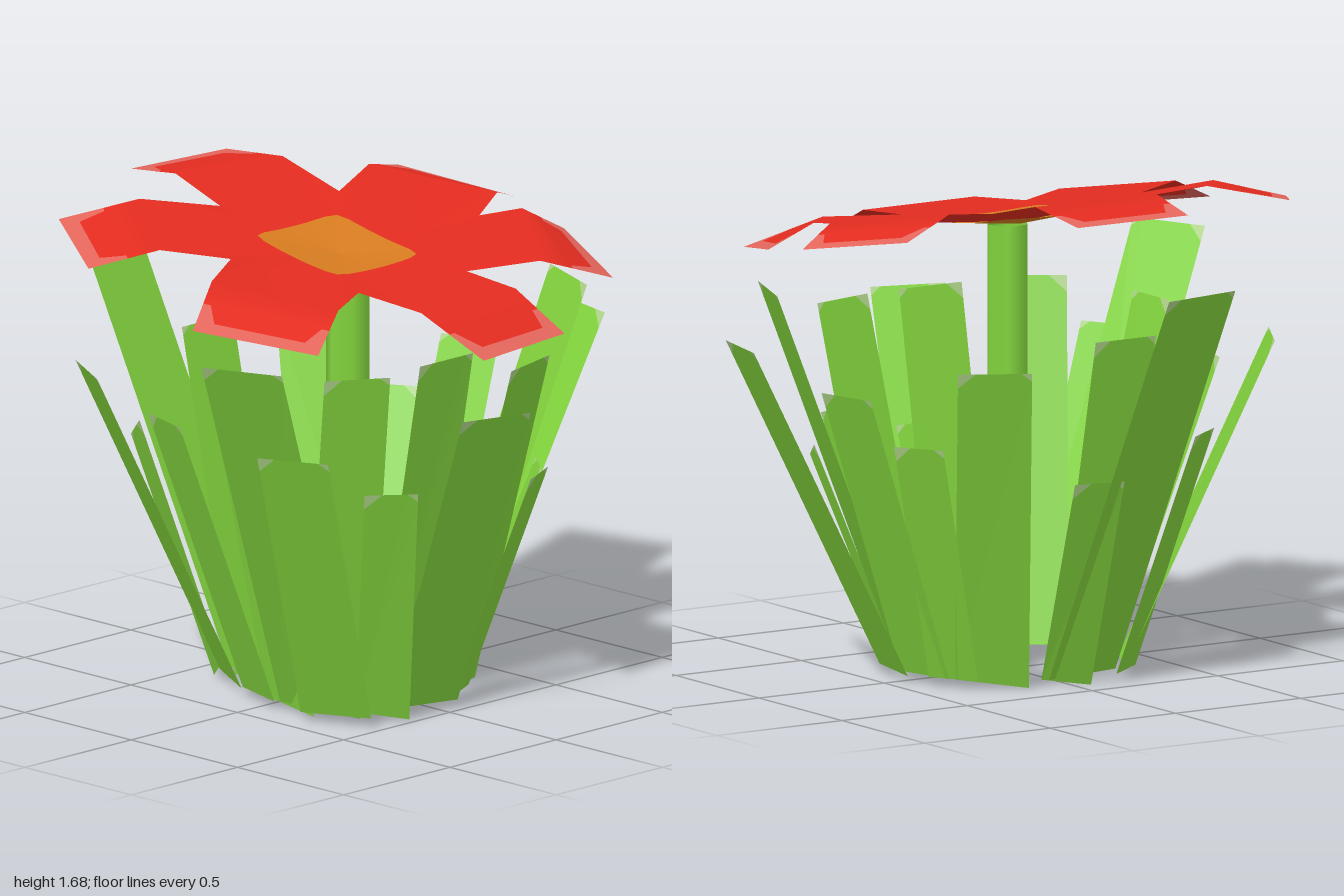
import * as THREE from 'three';
import { mergeVertices } from 'three/addons/utils/BufferGeometryUtils.js';

const mat = (name, color) => {
  const m = new THREE.MeshStandardMaterial({ color, side: THREE.DoubleSide });
  m.name = name;
  return m;
};

// Split convex polygons (lists of Vector3 corners) into triangle corners
const fan = (polys) => polys.flatMap((p) =>
  p.slice(2).flatMap((q, i) => [p[0], p[i + 1], q]));

function polyMesh(name, polys, material) {
  const g = new THREE.BufferGeometry().setFromPoints(fan(polys));
  g.computeVertexNormals();
  const m = new THREE.Mesh(g, material);
  m.name = name;
  return m;
}

// Tall leaves: top middle x, z, height, facing in degrees, width, outward run
const TALL = [
  [-0.205, 0.925, 1.135, -16, 0.26, 0.5],
  [-0.945, 0.465, 1.345, -68, 0.29, 0.67],
  [0.967, 0.165, 1.16, 78, 0.256, 0.55],
  [0.78, 0.28, 1.32, 69, 0.3, 0.47],
  [0.765, -0.17, 1.02, 103, 0.225, 0.38],
  [0.465, -0.615, 1.135, 148, 0.247, 0.4],
  [-0.15, -0.935, 1.385, -170, 0.304, 0.58],
  [0.25, 0.63, 1.18, 14, 0.247, 0.29],
  [-0.12, -0.52, 1.18, 180, 0.24, 0.25],
  [-0.64, 0.11, 1.18, -90, 0.22, 0.28],
  [-0.71, -0.135, 1.02, -106, 0.218, 0.36],
  [-0.725, -0.485, 1.132, -119, 0.264, 0.5],
  [-0.405, 0.47, 1.217, -32, 0.225, 0.29],
  [-0.015, 0.5, 1.217, 0, 0.25, 0.22],
  [-0.755, 0.515, 1.01, -65, 0.25, 0.42],
];
// Short leaves share one width and run: x, z, height, facing
const SHORT = [
  [0.262, 0.66, 0.805, 26],
  [-0.405, 0.63, 0.85, -39],
  [0.53, 0.39, 0.735, 52],
  [-0.385, -0.595, 0.85, -144],
  [0.595, -0.35, 0.855, 122],
  [0.08, -0.665, 0.735, 170],
  [-0.035, 0.6, 0.735, 0],
];

// Six petals: notch before, first tip corner, second tip corner (x, z)
const PETALS = [
  [[-0.21, -0.37], [-0.15, -0.85], [0.27, -0.82]],
  [[0.25, -0.27], [0.70, -0.44], [0.86, -0.05]],
  [[0.53, 0.11], [0.81, 0.23], [0.65, 0.62]],
  [[0.14, 0.44], [0.15, 0.89], [-0.27, 0.93]],
  [[-0.33, 0.40], [-0.75, 0.63], [-0.98, 0.27]],
  [[-0.51, -0.02], [-0.91, -0.29], [-0.69, -0.65]],
];

const CX = -0.07, CZ = 0.04, SINK = -0.02;
// Point on the tilted blossom plane, raised by off
const onBloom = (x, z, off) => new THREE.Vector3(x, 1.52 - 0.17 * (z - CZ) + off, z);

export function createModel() {
  const model = new THREE.Group();
  const green = mat('leafGreen', 0x84d63e);
  const paleGreen = mat('paleGreen', 0xb2d88c);
  const red = mat('petalRed', 0xe42c20);
  const paleRed = mat('palePetalEdge', 0xe4665c);
  const orange = mat('centreOrange', 0xd87c20);

  // Stem
  const stemGeo = new THREE.CylinderGeometry(0.075, 0.075, 1.47, 6, 1, true);
  stemGeo.rotateY(Math.PI / 6);
  const stem = new THREE.Mesh(stemGeo, green);
  stem.name = 'stem';
  stem.position.set(-0.015, 0.765, 0.035);
  model.add(stem);

  // Outward leaning leaves with small pale corners
  const leaves = new THREE.Group();
  leaves.name = 'leaves';
  const addLeaf = ([x, z, height, facing, width = 0.18, run = 0.28], i) => {
    const t = THREE.MathUtils.degToRad(facing);
    const out = new THREE.Vector3(Math.sin(t), 0, Math.cos(t));
    const half = new THREE.Vector3(out.z, 0, -out.x).multiplyScalar(width / 2);
    const top = new THREE.Vector3(x, height, z);
    const base = top.clone().addScaledVector(out, -run).setY(0.03);
    const a = top.clone().sub(half), b = top.clone().add(half);
    const c = base.clone().sub(half), d = base.clone().add(half);
    if (i % 4 === 1) d.y = 0;
    const step = (p, q, len) => p.clone().lerp(q, len / p.distanceTo(q));
    const a1 = step(a, c, 0.055), a2 = step(a, b, 0.06);
    const b1 = step(b, d, 0.03), b2 = step(b, a, 0.035);
    leaves.add(polyMesh('leaf', [[c, d, b1, b2, a2, a1]], green));
    leaves.add(polyMesh('leafCorners', [[a, a1, a2], [b, b2, b1]], paleGreen));
  };
  TALL.forEach(addLeaf);
  SHORT.forEach(addLeaf);
  model.add(leaves);

  // Petals: rising inner part, then a drooping flap with a pale rim
  const blossom = new THREE.Group();
  blossom.name = 'blossom';
  const centre = onBloom(CX, CZ, SINK);
  const redFaces = [], rimFaces = [];
  PETALS.forEach(([n, s, t], i) => {
    const m = PETALS[(i + 1) % 6][0];
    const mid = (p, q) => onBloom((p[0] + q[0]) / 2, (p[1] + q[1]) / 2, 0.05);
    const bendA = mid(n, s), bendB = mid(m, t);
    const tipA = onBloom(...s, -0.025), tipB = onBloom(...t, -0.025);
    const at = (u, v) => bendA.clone().lerp(tipA, v)
      .lerp(bendB.clone().lerp(tipB, v), u);
    redFaces.push(
      [centre, onBloom(...m, 0.03), bendB, bendA, onBloom(...n, 0.03)],
      [bendA, bendB, at(1, 0.45), at(0, 0.45)],
      [at(0.06, 0.45), at(0.94, 0.45), at(0.86, 0.79), at(0.14, 0.79)],
    );
    rimFaces.push(
      [at(0, 0.45), at(0.06, 0.45), at(0.14, 0.79), at(0, 1)],
      [at(0, 1), at(0.14, 0.79), at(0.86, 0.79), at(1, 1)],
      [at(1, 1), at(0.86, 0.79), at(0.94, 0.45), at(1, 0.45)],
    );
  });
  // One smooth surface with a colour group for the rims
  const redPts = fan(redFaces), rimPts = fan(rimFaces);
  const petalGeo = mergeVertices(
    new THREE.BufferGeometry().setFromPoints([...redPts, ...rimPts]));
  petalGeo.addGroup(0, redPts.length, 0);
  petalGeo.addGroup(redPts.length, rimPts.length, 1);
  petalGeo.computeVertexNormals();
  const petals = new THREE.Mesh(petalGeo, [red, paleRed]);
  petals.name = 'petals';
  blossom.add(petals);

  // Rounded square centre, shown on both sides of the blossom
  const ring = [];
  for (let k = 0; k < 40; k++) {
    const a = (k / 40) * Math.PI * 2, c = Math.cos(a), s = Math.sin(a);
    const r = 0.2 / Math.pow(c ** 10 + s ** 10, 0.1);
    ring.push([r * c, r * s, r]);
  }
  for (const lift of [0.009, -0.009]) {
    const point = ([x, z, r]) => onBloom(CX + x, CZ + z, SINK + 0.108 * r + lift);
    const hub = onBloom(CX, CZ, SINK + lift);
    blossom.add(polyMesh('flowerCentre',
      ring.map((p, k) => [hub, point(ring[(k + 1) % 40]), point(p)]), orange));
  }
  model.add(blossom);
  return model;
}
